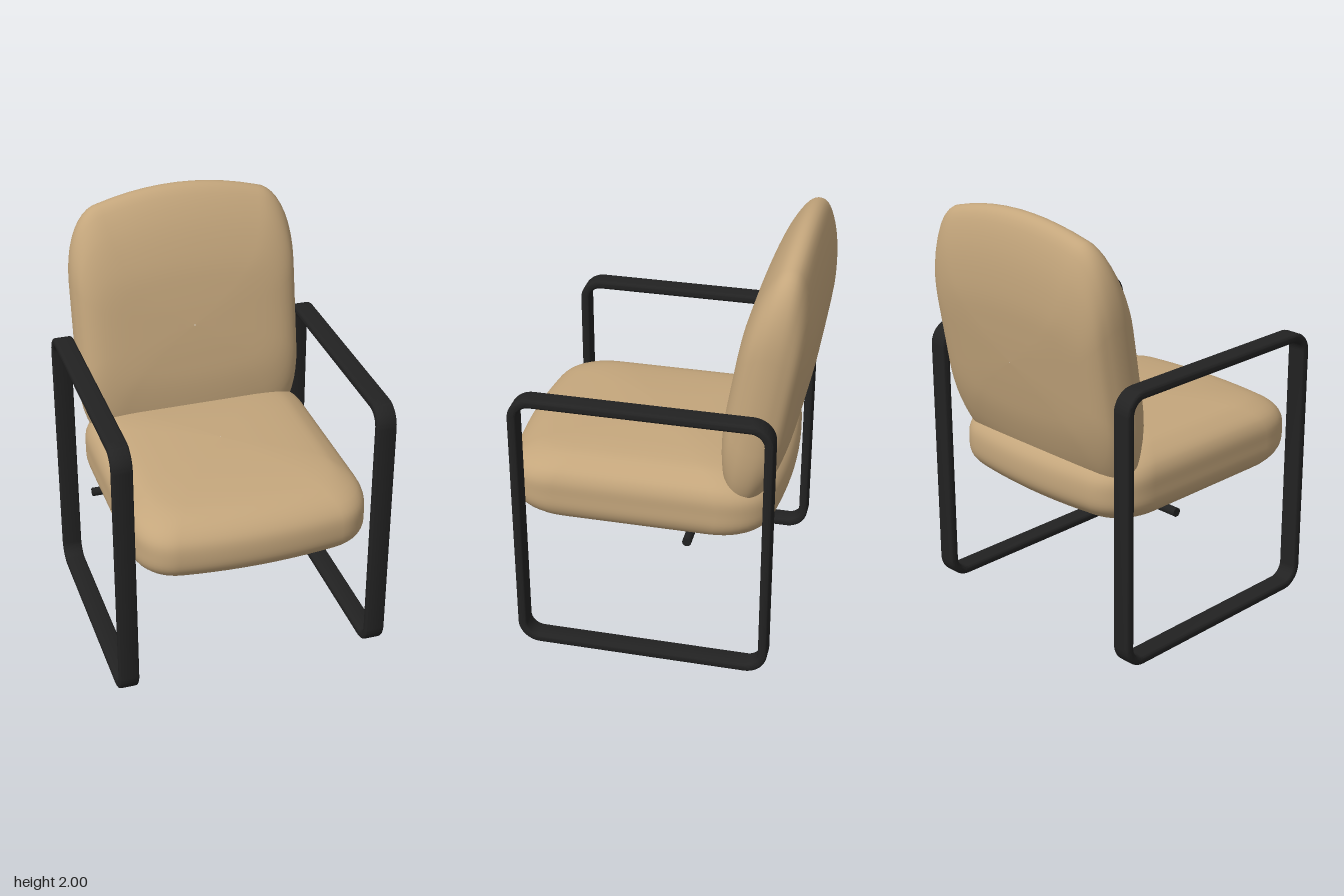
import * as THREE from 'three';
import { toCreasedNormals } from 'three/addons/utils/BufferGeometryUtils.js';

const V2 = (x, y) => new THREE.Vector2(x, y);

// Unit outline (x, z): straight sides, soft corners, slightly bowed ends
function cushionOutline(sideEnd, cornerX, cornerZ) {
  const corner = new THREE.CubicBezierCurve(V2(1, sideEnd), V2(1, sideEnd + (cornerZ - sideEnd) * 0.6),
    V2(cornerX + (1 - cornerX) * 0.55, cornerZ - 0.02), V2(cornerX, cornerZ));
  const bow = new THREE.QuadraticBezierCurve(V2(cornerX, cornerZ), V2(cornerX * 0.5, 1), V2(0, 1));
  const quarter = [V2(1, 0), V2(1, sideEnd / 2), ...corner.getPoints(10), ...bow.getPoints(5).slice(1)];
  const half = [...quarter, ...quarter.slice(0, -1).reverse().map((p) => V2(-p.x, p.y))];
  return [...half, ...half.slice(1, -1).reverse().map((p) => V2(p.x, -p.y))];
}

// Pillow from stacked outlines; each section is [half width, half length, height]
function cushionGeometry(outline, sections) {
  const lower = sections.slice(0, -1).reverse().map(([x, z, y]) => [x, z, -y]);
  const path = new THREE.CatmullRomCurve3(
    [...sections, ...lower].map(([x, z, y]) => new THREE.Vector3(x, y, z)), false, 'centripetal');
  const rings = path.getPoints(48);
  const n = outline.length;
  const positions = [];
  const index = [];
  rings.forEach((r, i) => {
    outline.forEach((p, j) => {
      positions.push(p.x * r.x, r.y, p.y * r.z);
      if (i === rings.length - 1) return;
      const a = i * n + j;
      const b = i * n + (j + 1) % n;
      index.push(a, b, a + n, b, b + n, a + n);
    });
  });
  const geometry = new THREE.BufferGeometry();
  geometry.setAttribute('position', new THREE.Float32BufferAttribute(positions, 3));
  geometry.setIndex(index);
  geometry.computeVertexNormals();
  return geometry;
}

// Rounded rectangle centred on the origin
function roundedRect(Path, w, h, r) {
  const p = new Path();
  p.absarc(w / 2 - r, h / 2 - r, r, 0, Math.PI / 2);
  p.absarc(-w / 2 + r, h / 2 - r, r, Math.PI / 2, Math.PI);
  p.absarc(-w / 2 + r, -h / 2 + r, r, Math.PI, Math.PI * 1.5);
  p.absarc(w / 2 - r, -h / 2 + r, r, Math.PI * 1.5, Math.PI * 2);
  p.closePath();
  return p;
}

export function createModel() {
  const fabric = new THREE.MeshStandardMaterial({ color: 0xc4a67c });
  fabric.name = 'tan fabric';
  const metal = new THREE.MeshStandardMaterial({ color: 0x222222 });
  metal.name = 'black metal';

  const model = new THREE.Group();
  model.name = 'armchair';
  const add = (name, geometry, material) => {
    const mesh = new THREE.Mesh(geometry, material);
    mesh.name = name;
    model.add(mesh);
    return mesh;
  };

  // Seat cushion
  const seat = add('seatCushion', cushionGeometry(cushionOutline(0.58, 0.69, 0.955), [
    [0.002, 0.002, 0.205], [0.2, 0.2, 0.198], [0.4, 0.41, 0.18], [0.47, 0.53, 0.157],
    [0.53, 0.605, 0.115], [0.553, 0.643, 0.065], [0.555, 0.6525, 0],
  ]), fabric);
  seat.position.set(0, 0.775, 0.053);

  // Back cushion, leaning backwards with its lower end sunk into the seat
  const back = add('backCushion', cushionGeometry(cushionOutline(0.36, 0.7, 0.915), [
    [0.002, 0.002, 0.165], [0.25, 0.16, 0.16], [0.44, 0.32, 0.147], [0.52, 0.49, 0.11],
    [0.545, 0.61, 0.062], [0.553, 0.65, 0.03], [0.555, 0.66, 0],
  ]), fabric);
  back.rotation.x = THREE.MathUtils.degToRad(80.5);
  back.position.set(0, 1.345, -0.51);

  // Side frames: closed loops forming arm, legs and floor runner
  const loop = roundedRect(THREE.Shape, 1.19, 1.32, 0.105);
  loop.holes.push(roundedRect(THREE.Path, 1.106, 1.236, 0.063));
  const bevel = 0.014;
  const width = 0.095;
  const frameGeometry = toCreasedNormals(new THREE.ExtrudeGeometry(loop, {
    depth: width - 2 * bevel, bevelEnabled: true, bevelThickness: bevel, bevelSize: bevel,
    bevelOffset: -bevel, bevelSegments: 4, curveSegments: 10,
  }).translate(0, 0, bevel - width / 2).rotateY(Math.PI / 2), 0.6);
  for (const [name, side] of [['leftFrame', 1], ['rightFrame', -1]]) {
    add(name, frameGeometry, metal).position.set(side * 0.608, 0.66, 0);
  }

  // Cross rod under the seat
  const rod = add('crossRod', new THREE.CylinderGeometry(0.021, 0.021, 1.14, 16).rotateZ(Math.PI / 2), metal);
  rod.position.set(0, 0.625, -0.2);

  return model;
}
